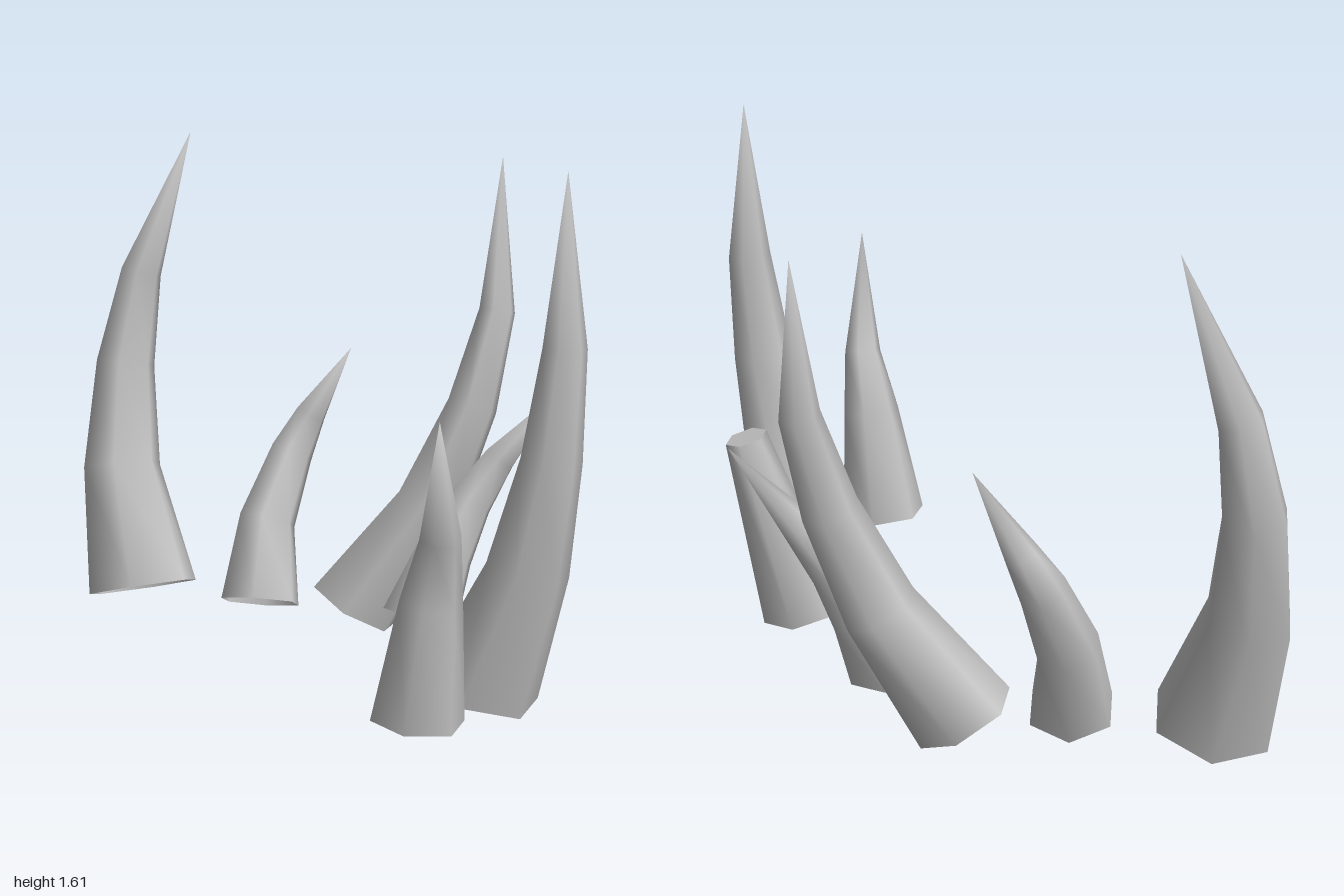
import * as THREE from 'three';

const SIDES = 6;

// Each row is one cross-section: x, y, z, radius (radius 0 is a pointed tip)
const HORNS = [
  { name: 'tallRightHorn', twist: 0, rings: [[-0.67, 0.095, -0.685, 0.187], [-0.763, 0.48, -0.8, 0.133],
    [-0.768, 0.815, -0.89, 0.101], [-0.72, 1.12, -0.93, 0.07], [-0.55, 1.59, -0.94, 0]] },
  { name: 'smallBackHorn', twist: 0, rings: [[-0.26, 0.08, -0.61, 0.135], [-0.255, 0.33, -0.72, 0.097],
    [-0.187, 0.545, -0.805, 0.073], [-0.13, 0.67, -0.845, 0.053], [0.01, 0.9, -0.81, 0]] },
  { name: 'tallBackHorn', twist: 0.1, rings: [[0.045, 0.068, -0.665, 0.157], [0.287, 0.41, -0.67, 0.113],
    [0.422, 0.735, -0.71, 0.085], [0.493, 1.04, -0.77, 0.061], [0.495, 1.53, -0.88, 0]] },
  { name: 'leaningHorn', twist: 0, rings: [[0.295, 0.1, -0.395, 0.13], [0.365, 0.3, -0.46, 0.098],
    [0.44, 0.46, -0.505, 0.075], [0.53, 0.6, -0.54, 0.055], [0.735, 0.84, -0.535, 0]] },
  { name: 'brokenHorn', twist: 0.15, rings: [[0.605, 0.083, 0, 0.13], [0.765, 0.67, -0.028, 0.066]] },
  { name: 'tallLeftHorn', twist: 0.2, rings: [[0.562, 0.085, 0.32, 0.185], [0.707, 0.46, 0.388, 0.127],
    [0.772, 0.785, 0.405, 0.092], [0.805, 1.11, 0.402, 0.066], [0.803, 1.61, 0.365, 0]] },
  { name: 'smallFrontHorn', twist: 0.15, rings: [[0.435, 0.1, 0.742, 0.137], [0.475, 0.455, 0.775, 0.092],
    [0.505, 0.645, 0.823, 0.06], [0.522, 1.0, 1.0, 0]] },
];

// Six-sided ring of points set square to the horn's axis
function ringPoints(centres, radii, i, twist) {
  const last = centres.length - 1;
  const axis = new THREE.Vector3();
  if (i > 0) axis.add(centres[i].clone().sub(centres[i - 1]).normalize());
  if (i < last) axis.add(centres[i + 1].clone().sub(centres[i]).normalize());
  if (i === 0) axis.y *= 1.25;
  axis.normalize();
  const u = new THREE.Vector3(1, 0, 0).addScaledVector(axis, -axis.x).normalize();
  const v = new THREE.Vector3().crossVectors(u, axis);
  return Array.from({ length: SIDES }, (_, k) => {
    const a = Math.PI / 2 + twist + (k / SIDES) * Math.PI * 2;
    return centres[i].clone()
      .addScaledVector(u, radii[i] * Math.cos(a))
      .addScaledVector(v, radii[i] * Math.sin(a));
  });
}

function makeGeometry(points, index) {
  const geometry = new THREE.BufferGeometry().setFromPoints(points);
  geometry.setIndex(index);
  geometry.computeVertexNormals();
  return geometry;
}

function makeHorn({ name, twist, rings }, material) {
  const horn = new THREE.Group();
  horn.name = name;
  const centres = rings.map(([x, y, z]) => new THREE.Vector3(x, y, z));
  const radii = rings.map((r) => r[3]);
  const last = rings.length - 1;
  const pointed = radii[last] === 0;
  const points = [];
  const index = [];

  // Tapering wall, open at the base
  for (let i = 0; i <= last; i++) {
    const isTip = pointed && i === last;
    points.push(...(isTip ? [centres[i]] : ringPoints(centres, radii, i, twist)));
    if (i === 0) continue;
    const low = (i - 1) * SIDES;
    const high = i * SIDES;
    for (let k = 0; k < SIDES; k++) {
      const n = (k + 1) % SIDES;
      if (isTip) index.push(low + k, high, low + n);
      else index.push(low + k, high + k, high + n, low + k, high + n, low + n);
    }
  }
  const wall = new THREE.Mesh(makeGeometry(points, index), material);
  wall.name = 'hornWall';
  horn.add(wall);

  // Flat cap on a horn without a tip
  if (!pointed) {
    const capIndex = [];
    for (let k = 1; k < SIDES - 1; k++) capIndex.push(0, k + 1, k);
    const cap = new THREE.Mesh(makeGeometry(points.slice(-SIDES), capIndex), material);
    cap.name = 'brokenEnd';
    horn.add(cap);
  }
  return horn;
}

export function createModel() {
  const model = new THREE.Group();
  model.name = 'horns';
  const grey = new THREE.MeshStandardMaterial({ color: 0xc0c0c0, side: THREE.DoubleSide });
  grey.name = 'light grey';
  for (const horn of HORNS) model.add(makeHorn(horn, grey));
  return model;
}
